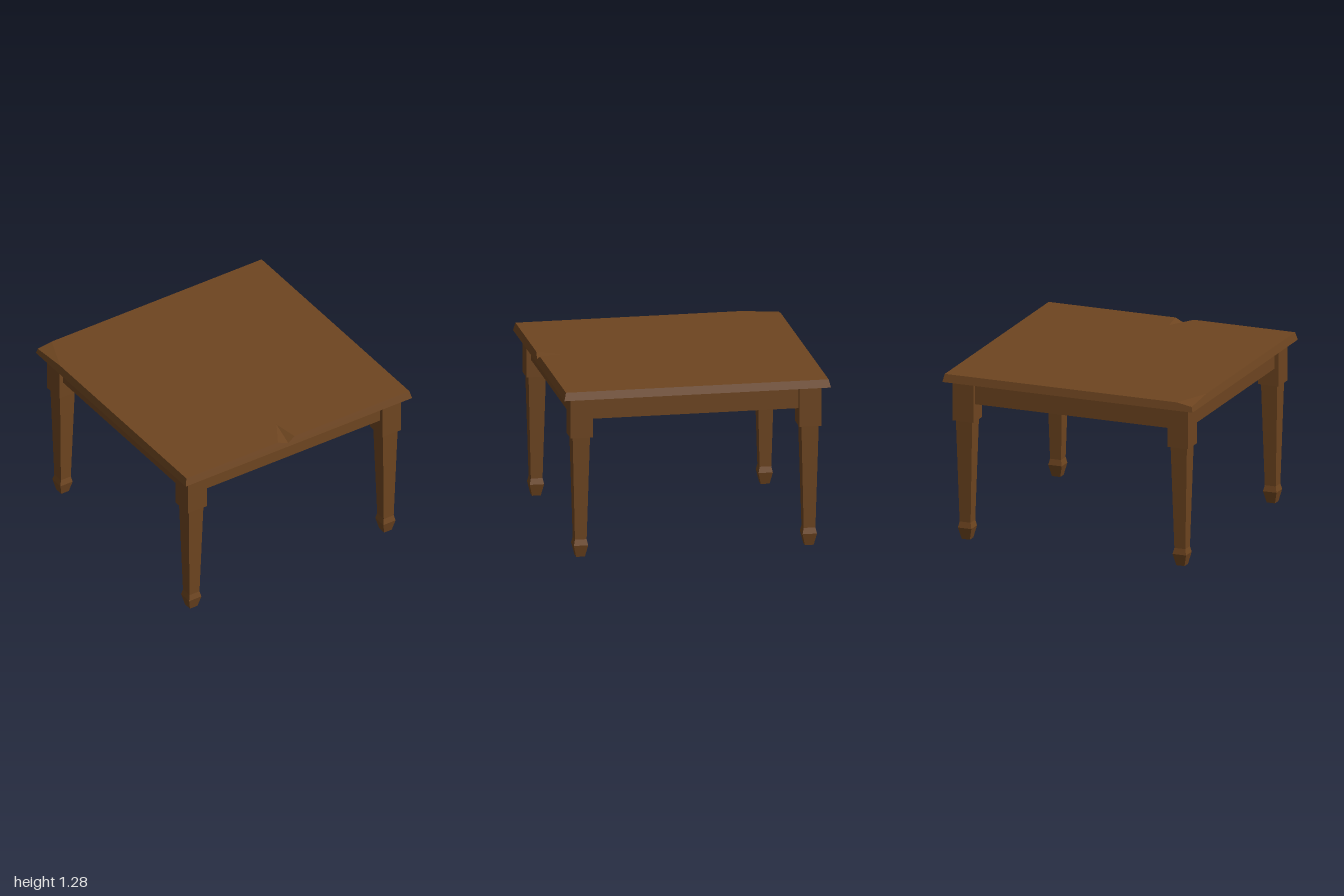
import * as THREE from 'three';

const wood = new THREE.MeshStandardMaterial({ color: 0x6e4520, flatShading: true });

function addMesh(parent, name, geometry, x = 0, y = 0, z = 0) {
  const mesh = new THREE.Mesh(geometry, wood);
  mesh.name = name;
  mesh.position.set(x, y, z);
  parent.add(mesh);
  return mesh;
}

// Convex or star-shaped faces, each fanned out from its first corner
function facesGeometry(faces) {
  const positions = [];
  for (const f of faces) {
    for (let i = 1; i < f.length - 1; i++) positions.push(...f[0], ...f[i], ...f[i + 1]);
  }
  const geometry = new THREE.BufferGeometry();
  geometry.setAttribute('position', new THREE.Float32BufferAttribute(positions, 3));
  geometry.computeVertexNormals();
  return geometry;
}

// Bevelled slab with a notch in the front edge and one worn back corner
function tableTopGeometry() {
  const low = 1.225, high = 1.285, h = 0.985;
  const bottom = (x, z) => [x, low, z];
  const top = (x, z) => [x, high, z];
  const bfl = bottom(-1, 1), bfr = bottom(1, 1), bbr = bottom(1, -1), bbl = bottom(-1, -1);
  const tfl = top(-h, h), tfr = top(h, h), tbr = top(h, -h);
  const notchA = top(-0.176, h), notchB = top(-0.03, h), notchTip = top(-0.06, 0.79);
  const notchLow = [-0.09, 1.25, 0.994];
  const chipBack = top(-0.87, -h), chipSide = top(-h, -0.7), chipCorner = [-0.99, 1.265, -0.99];
  return facesGeometry([
    [notchTip, notchB, tfr, tbr, chipBack, chipSide, tfl, notchA], // upper surface
    [notchTip, notchA, notchLow, notchB],                          // notch
    [chipBack, chipCorner, chipSide],                              // worn corner
    [notchLow, notchA, tfl, bfl, bfr, tfr, notchB],                // front edge
    [bfr, bbr, tbr, tfr],
    [bbr, bbl, chipCorner, chipBack, tbr],
    [bbl, bfl, tfl, chipSide, chipCorner],
    [bfl, bbl, bbr, bfr],                                          // underside
  ]);
}

// Square tapered leg with a flared foot: [half width, height]
function legGeometry() {
  const profile = [[0, 0], [0.033, 0], [0.054, 0.09], [0.044, 0.135], [0.065, 0.92]]
    .map(([half, y]) => new THREE.Vector2(half * Math.SQRT2, y));
  const geometry = new THREE.LatheGeometry(profile, 4, Math.PI / 4).toNonIndexed();
  geometry.computeVertexNormals();
  return geometry;
}

export function createModel() {
  const table = new THREE.Group();
  table.name = 'table';

  addMesh(table, 'tableTop', tableTopGeometry());

  // Four corner legs, each a square post over a tapered shaft
  const post = new THREE.BoxGeometry(0.166, 0.305, 0.166);
  const shaft = legGeometry();
  const legAt = 0.858;
  for (const [front, z] of [['front', legAt], ['back', -legAt]]) {
    for (const [side, x] of [['Left', legAt], ['Right', -legAt]]) {
      const leg = new THREE.Group();
      leg.name = `${front}${side}Leg`;
      leg.position.set(x, 0, z);
      addMesh(leg, 'legPost', post, 0, 1.0725, 0);
      addMesh(leg, 'legShaft', shaft);
      table.add(leg);
    }
  }

  // Aprons joining the posts, set back from their outer faces
  const apron = new THREE.BoxGeometry(1.55, 0.17, 0.095);
  ['front', 'left', 'back', 'right'].forEach((side, i) => {
    const angle = i * Math.PI / 2;
    const mesh = addMesh(table, `${side}Apron`, apron,
      Math.sin(angle) * 0.862, 1.14, Math.cos(angle) * 0.862);
    mesh.rotation.y = angle;
  });

  return table;
}
